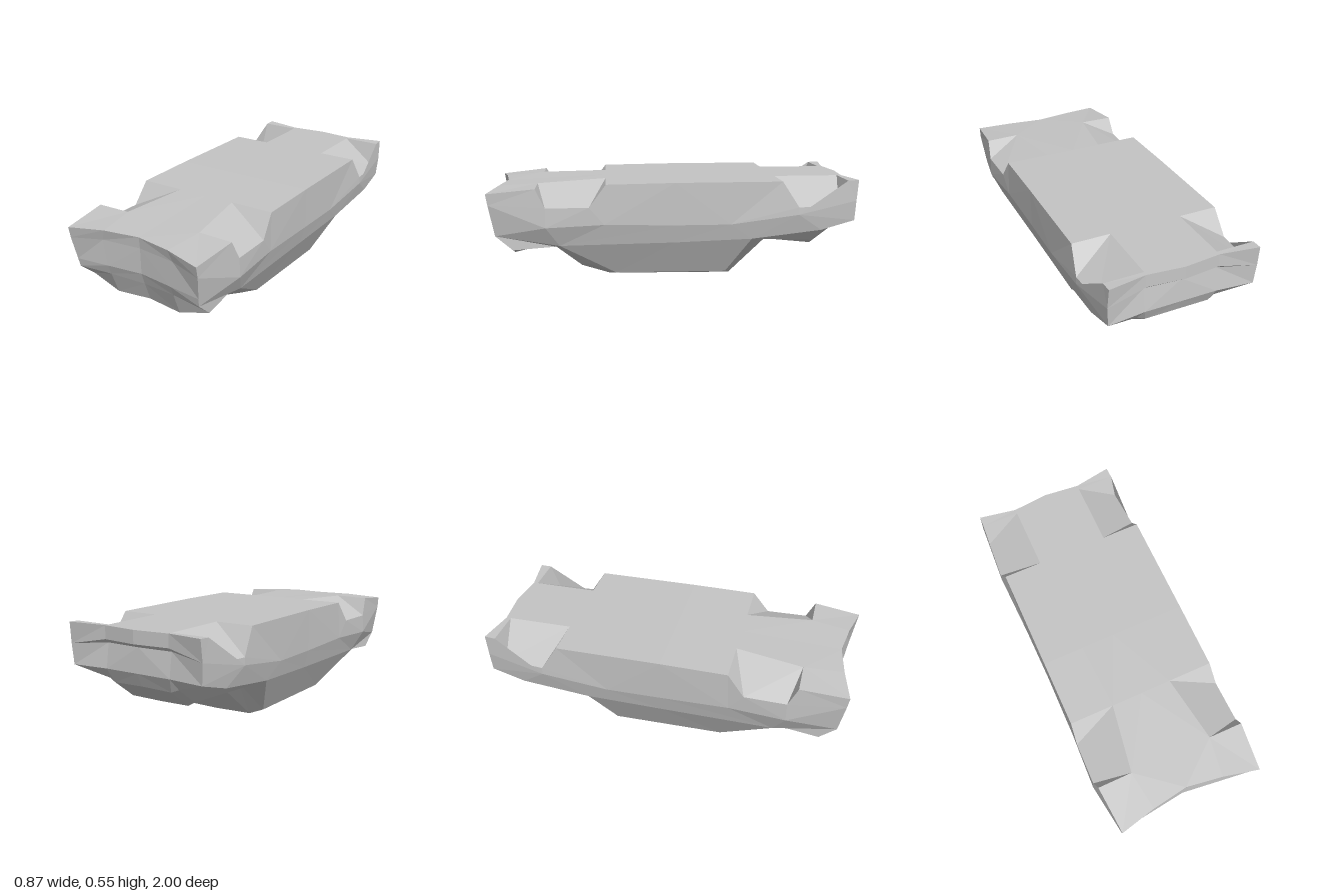
import * as THREE from 'three';

// Lengthwise lanes of the overturned car shell, for the +x half: [z, x, y] from front to back,
// ordered from the centre of the upturned floor, around the flank, to the centre of the roof.
const floorCentre = [[0.925, 0, 0.517], [0.37, 0, 0.545], [0, 0, 0.55], [-0.985, 0, 0.55]];
const floorInner = [[0.955, 0.2, 0.515], [0.74, 0.23, 0.53], [0.37, 0.17, 0.545], [0, 0.19, 0.55],
  [-0.58, 0.2, 0.55], [-0.94, 0.2, 0.55], [-0.965, 0.2, 0.55]];
const floorEdge = [[1, 0.4, 0.5], [0.74, 0.42, 0.527], [0.69, 0.43, 0.425], [0.46, 0.425, 0.425],
  [0.37, 0.415, 0.545], [0, 0.415, 0.55], [-0.58, 0.415, 0.55], [-0.67, 0.43, 0.41],
  [-0.89, 0.415, 0.415], [-0.94, 0.412, 0.55], [-1, 0.41, 0.553]];
const shoulder = [[0.99, 0.4, 0.44], [0.69, 0.434, 0.32], [0.38, 0.42, 0.33], [0, 0.415, 0.32],
  [-0.3, 0.418, 0.32], [-0.67, 0.432, 0.37], [-0.99, 0.413, 0.44]];
const belt = [[0.96, 0.38, 0.27], [0.62, 0.39, 0.213], [0, 0.39, 0.22], [-0.42, 0.4, 0.235],
  [-0.8, 0.41, 0.28], [-0.985, 0.405, 0.33]];
// Follows the belt, then turns inward as the gutter beside the boot
const gutter = [...belt.slice(0, 4), [-0.85, 0.3, 0.285], [-0.985, 0.405, 0.33]];
const cabinEdge = [[0.87, 0.375, 0.19], [0.64, 0.35, 0.2], [0.48, 0.295, 0.09], [0.32, 0.3, 0.035],
  [-0.29, 0.3, 0.03], [-0.5, 0.28, 0.225], [-0.8, 0.22, 0.18], [-0.92, 0.22, 0.27]];
const roofInner = [[0.88, 0.2, 0.138], [0.67, 0.2, 0.185], [0.51, 0.18, 0.05], [0.35, 0.18, 0],
  [-0.32, 0.23, 0.005], [-0.53, 0.2, 0.19], [-0.8, 0.18, 0.157], [-0.93, 0.18, 0.255]];
const roofCentre = [[0.865, 0, 0.148], [0.68, 0, 0.19], [0.51, 0, 0.045], [0.35, 0, 0],
  [-0.32, 0, 0], [-0.53, 0, 0.19], [-0.8, 0, 0.155], [-0.935, 0, 0.26]];

const v = (x, y, z) => new THREE.Vector3(x, y, z);
const toPoint = ([z, x, y]) => v(x, y, z);

// Flat facets with their mirror image on -x; facets without area are skipped
function mirroredFacets(triangles) {
  const pos = [];
  for (const [a, b, c] of triangles) {
    if (b.clone().sub(a).cross(c.clone().sub(a)).length() < 1e-7) continue;
    for (const p of [a, b, c]) pos.push(p.x, p.y, p.z);
    for (const p of [a, c, b]) pos.push(-p.x, p.y, p.z);
  }
  const g = new THREE.BufferGeometry();
  g.setAttribute('position', new THREE.Float32BufferAttribute(pos, 3));
  g.computeVertexNormals();
  return g;
}

// Stitches each lane to the next, stepping backward along whichever lane is further forward
function stitch(...lanes) {
  const triangles = [];
  for (let k = 0; k < lanes.length - 1; k++) {
    const a = lanes[k].map(toPoint), b = lanes[k + 1].map(toPoint);
    let i = 0, j = 0;
    while (i < a.length - 1 || j < b.length - 1) {
      if (j === b.length - 1 || (i < a.length - 1 && a[i + 1].z >= b[j + 1].z)) {
        triangles.push([a[i + 1], a[i], b[j]]);
        i++;
      } else {
        triangles.push([a[i], b[j], b[j + 1]]);
        j++;
      }
    }
  }
  return mirroredFacets(triangles);
}

// End panel through rows of points, from top to bottom and centre to corner
function endPanel(rows, facesBack) {
  const triangles = [];
  for (let i = 0; i < rows.length - 1; i++) {
    for (let j = 0; j < 2; j++) {
      const a = rows[i][j], b = rows[i + 1][j], c = rows[i + 1][j + 1], d = rows[i][j + 1];
      triangles.push(...(facesBack ? [[a, c, b], [a, d, c]] : [[a, b, c], [a, c, d]]));
    }
  }
  return mirroredFacets(triangles);
}

export function createModel() {
  const group = new THREE.Group();
  group.name = 'overturnedCarShell';
  const grey = new THREE.MeshStandardMaterial({ color: 0xc4c4c4 });
  grey.name = 'bodyGrey';
  grey.flatShading = true;
  const add = (name, geometry) => {
    const mesh = new THREE.Mesh(geometry, grey);
    mesh.name = name;
    group.add(mesh);
  };

  // Long surfaces
  add('floorWithWheelNotches', stitch(floorCentre, floorInner, floorEdge));
  add('flanks', stitch(floorEdge, shoulder, belt));
  add('bonnetCabinAndBoot', stitch(belt, gutter, cabinEdge, roofInner, roofCentre));

  // Nose and tail, filled between the lane ends
  const front = lane => toPoint(lane[0]);
  const back = lane => toPoint(lane[lane.length - 1]);
  add('nose', endPanel([
    [floorCentre, floorInner, floorEdge].map(front),
    [v(0, 0.455, 0.92), v(0.22, 0.455, 0.945), front(shoulder)],
    [v(0, 0.315, 0.92), v(0.2, 0.315, 0.945), front(shoulder).lerp(front(belt), 0.735)],
    [v(0, 0.25, 0.9), v(0.2, 0.26, 0.925), front(belt)],
    [roofCentre, roofInner, cabinEdge].map(front),
  ], false));
  add('tail', endPanel([
    [floorCentre, floorInner, floorEdge].map(back),
    [v(0, 0.48, -0.987), v(0.2, 0.48, -0.967), back(shoulder)],
    [v(0, 0.46, -0.955), v(0.2, 0.46, -0.945), back(shoulder)],
    [v(0, 0.33, -0.965), v(0.2, 0.33, -0.965), back(belt)],
    [roofCentre, roofInner, cabinEdge].map(back),
  ], true));
  return group;
}
